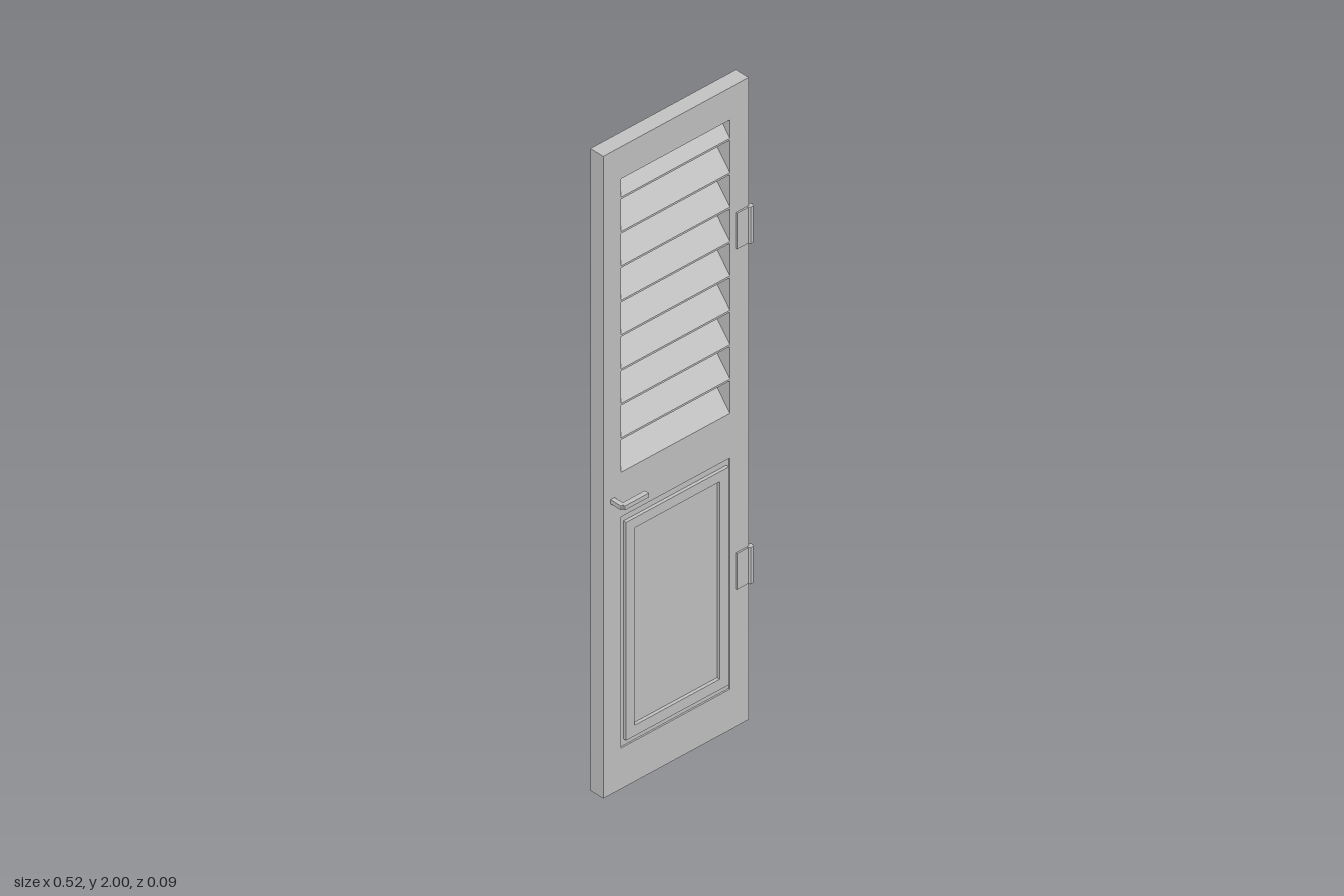
import * as THREE from 'three';

const grey = new THREE.MeshStandardMaterial({ color: 0xc0c0c0 });
grey.name = 'grey paint';

function rect(path, x0, x1, y0, y1) {
  path.moveTo(x0, y0);
  path.lineTo(x1, y0);
  path.lineTo(x1, y1);
  path.lineTo(x0, y1);
  path.closePath();
  return path;
}

// Flat board with rectangular holes, from z0 to z1
function board(outer, holes, z0, z1) {
  const shape = rect(new THREE.Shape(), ...outer);
  holes.forEach(h => shape.holes.push(rect(new THREE.Path(), ...h)));
  const g = new THREE.ExtrudeGeometry(shape, { depth: z1 - z0, bevelEnabled: false });
  return g.translate(0, 0, z0);
}

function box(x0, x1, y0, y1, z0, z1) {
  return new THREE.BoxGeometry(x1 - x0, y1 - y0, z1 - z0)
    .translate((x0 + x1) / 2, (y0 + y1) / 2, (z0 + z1) / 2);
}

export function createModel() {
  const model = new THREE.Group();
  model.name = 'louvredDoor';
  const add = (name, geometry, parent = model) => {
    const mesh = new THREE.Mesh(geometry, grey);
    mesh.name = name;
    parent.add(mesh);
  };

  const left = -0.198, right = 0.181, back = -0.048;

  // Door frame with an upper louvre opening and a lower panel opening
  add('doorFrame', board([-0.26, 0.248, 0, 2],
    [[left, right, 0.98, 1.9], [left, right, 0.127, 0.847]], back, 0));

  // Lower panel, slightly recessed on both sides, with a raised moulding in front
  add('lowerPanel', box(left, right, 0.127, 0.847, back + 0.005, -0.005));
  add('panelMoulding', board([-0.185, 0.173, 0.147, 0.826],
    [[-0.155, 0.141, 0.18, 0.795]], -0.005, 0.005));

  // Louvre slats, low edge to the front and high edge to the back
  const slats = new THREE.Group();
  slats.name = 'slats';
  model.add(slats);
  const section = new THREE.Shape([
    [0, 0], [0, 0.006], [back, 0.063], [back, 0.057],
  ].map(p => new THREE.Vector2(...p)));
  const slat = new THREE.ExtrudeGeometry(section, { depth: right - left, bevelEnabled: false })
    .rotateY(-Math.PI / 2).translate(right, 0, 0);
  for (let i = 0; i < 9; i++) {
    add('slat', slat.clone().translate(0, 0.98 + i * 0.1071, 0), slats);
  }

  // Hinges: flat leaf and six-sided barrel
  for (const y of [0.485, 1.545]) {
    const hinge = new THREE.Group();
    hinge.name = 'hinge';
    model.add(hinge);
    add('hingeLeaf', box(0.203, 0.25, y - 0.056, y + 0.056, 0, 0.005), hinge);
    add('hingeBarrel', new THREE.CylinderGeometry(0.01, 0.01, 0.114, 6, 1, false, Math.PI / 2)
      .toNonIndexed().translate(0.25, y, 0.0015), hinge);
    hinge.children[1].geometry.computeVertexNormals();
  }

  // Lever handle
  const handle = new THREE.Group();
  handle.name = 'handle';
  model.add(handle);
  add('handleShaft', box(-0.235, -0.221, 0.906, 0.919, 0, 0.039), handle);
  add('handleLever', box(-0.228, -0.144, 0.906, 0.919, 0.031, 0.046), handle);

  return model;
}
